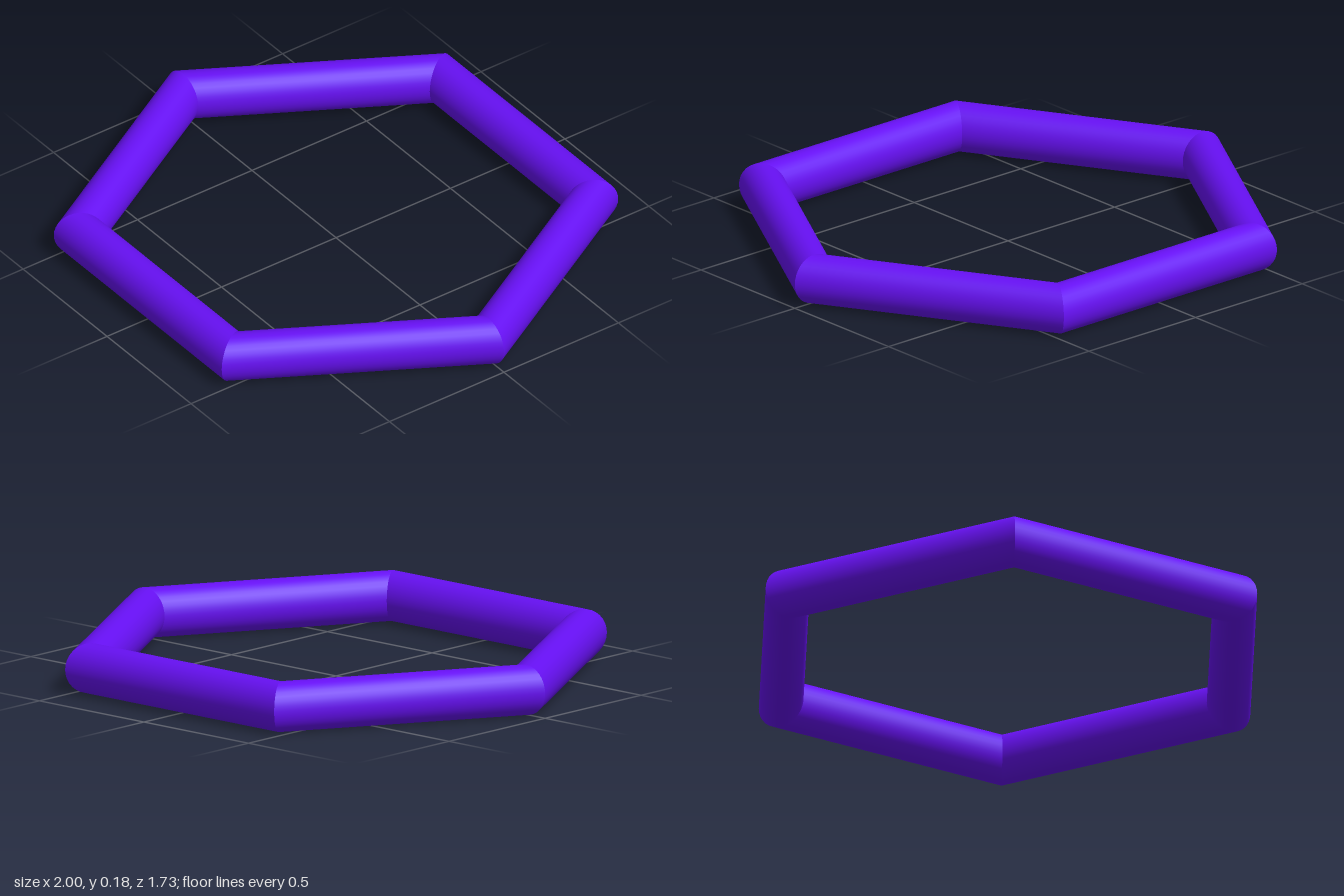
import * as THREE from 'three';
import { toCreasedNormals } from 'three/addons/utils/BufferGeometryUtils.js';

const SIDES = 6;
const TUBE = 0.09; // tube radius at the mitred corners
const RING = 1 - TUBE; // centre to tube centre at the corners

export function createModel() {
  const model = new THREE.Group();
  model.name = 'hexagonalRing';
  const material = new THREE.MeshStandardMaterial({ color: 0x6610f2 });

  // One straight bar, mitred at both ends and smooth around its tube
  const step = (Math.PI * 2) / SIDES;
  const arc = new THREE.TorusGeometry(RING, TUBE, 32, 1, step);
  arc.rotateX(Math.PI / 2);
  const barGeometry = toCreasedNormals(arc, 0.6);

  // Six bars meet with sharp creases at the corners
  for (let i = 0; i < SIDES; i++) {
    const bar = new THREE.Mesh(barGeometry, material);
    bar.name = `ringBar${i + 1}`;
    bar.rotation.y = i * step;
    bar.position.y = TUBE;
    model.add(bar);
  }
  return model;
}
